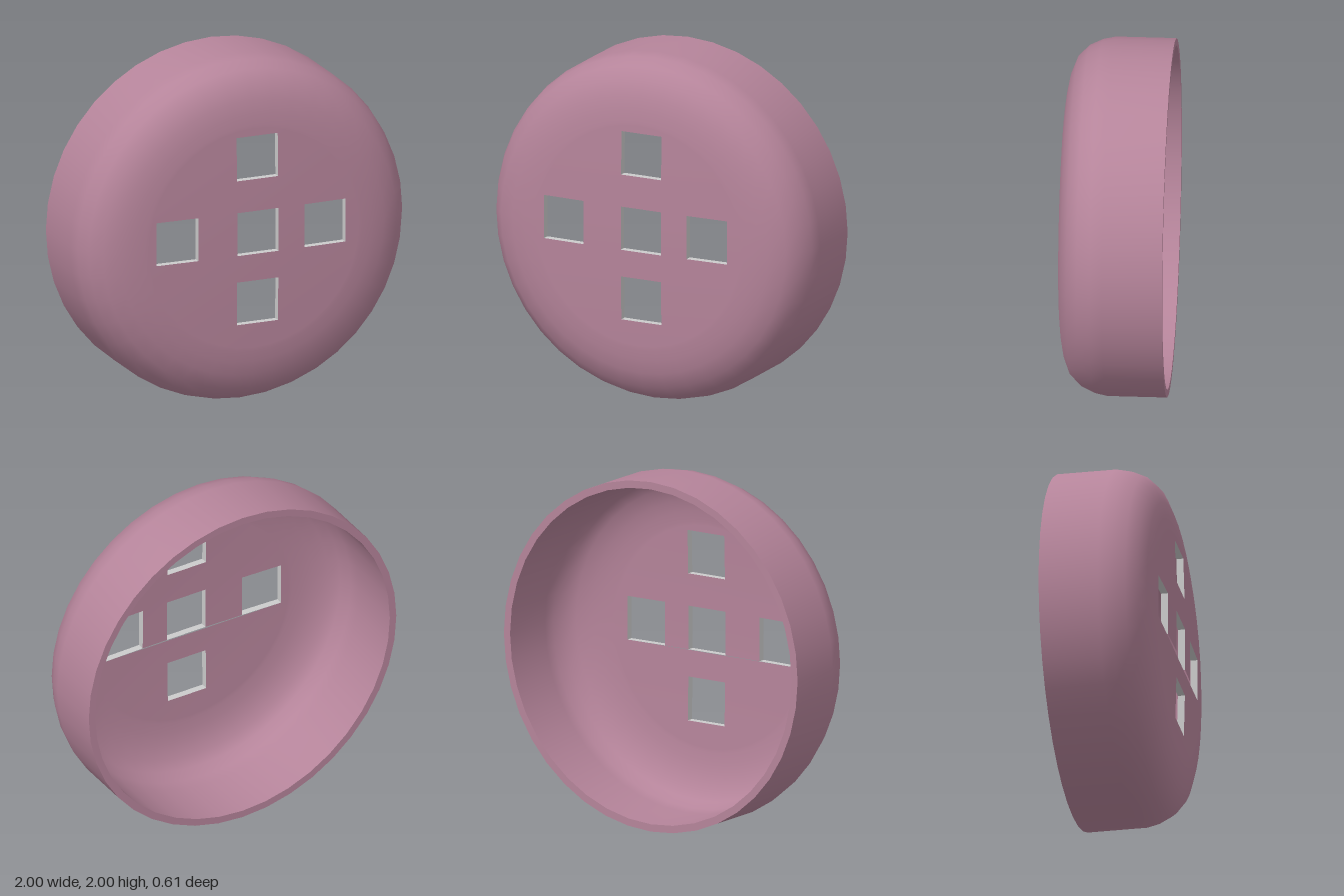
import * as THREE from 'three';

const SEGMENTS = 40;
const PLATE_RADIUS = 0.64;
const THICKNESS = 0.04;
const FRONT = 0.305;
const DOME = 0.03;
const HOLE = 0.25;

const pink = new THREE.MeshStandardMaterial({ color: 0xb5849a });
const grey = new THREE.MeshStandardMaterial({ color: 0xcccccc });

// Surface of revolution about the z axis from [radius, z] pairs
function revolve(name, profile) {
  const points = profile.map(([r, z]) => new THREE.Vector2(r, z));
  const geometry = new THREE.LatheGeometry(points, SEGMENTS);
  geometry.rotateX(Math.PI / 2);
  const mesh = new THREE.Mesh(geometry, pink);
  mesh.name = name;
  return mesh;
}

function squareHole(cx, cy) {
  const h = HOLE / 2;
  return new THREE.Path([
    new THREE.Vector2(cx - h, cy - h),
    new THREE.Vector2(cx - h, cy + h),
    new THREE.Vector2(cx + h, cy + h),
    new THREE.Vector2(cx + h, cy - h),
  ]);
}

// Slightly domed centre plate pierced by a cross of five square holes
function createPlate() {
  const rim = [];
  for (let i = 0; i < SEGMENTS; i++) {
    const a = (i / SEGMENTS) * Math.PI * 2;
    rim.push(new THREE.Vector2(Math.cos(a) * PLATE_RADIUS, Math.sin(a) * PLATE_RADIUS));
  }
  const shape = new THREE.Shape(rim);
  const centres = [[0.02, 0.035], [0.02, 0.47], [0.02, -0.37], [-0.465, 0.035], [0.43, 0.035]];
  shape.holes = centres.map(([x, y]) => squareHole(x, y));

  const geometry = new THREE.ExtrudeGeometry(shape, { depth: THICKNESS, bevelEnabled: false });
  const position = geometry.attributes.position;
  const normal = geometry.attributes.normal;
  const n = new THREE.Vector3();
  for (let i = 0; i < position.count; i++) {
    const x = position.getX(i), y = position.getY(i);
    position.setZ(i, position.getZ(i) + FRONT - THICKNESS - DOME * (x * x + y * y));
    // Faces follow the dome, hole walls keep their flat normals
    const side = normal.getZ(i);
    if (Math.abs(side) > 0.5) {
      n.set(2 * DOME * x, 2 * DOME * y, 1).normalize().multiplyScalar(Math.sign(side));
      normal.setXYZ(i, n.x, n.y, n.z);
    }
  }
  const mesh = new THREE.Mesh(geometry, [pink, grey]);
  mesh.name = 'piercedFrontPlate';
  return mesh;
}

export function createModel() {
  const group = new THREE.Group();
  group.name = 'roundCap';

  const edge = FRONT - DOME * PLATE_RADIUS ** 2;

  // Outer skin: straight wall, then rounded shoulder to the plate
  group.add(revolve('outerShell', [
    [1, -0.305], [1, 0.03], [0.985, 0.1], [0.95, 0.175], [0.89, 0.235],
    [0.8, 0.27], [0.72, 0.285], [0.66, 0.2917], [PLATE_RADIUS, edge],
  ]));

  // Inner skin, running from the plate back to the open end
  group.add(revolve('innerShell', [
    [PLATE_RADIUS, edge - THICKNESS], [0.66, 0.2517], [0.72, 0.244], [0.785, 0.23],
    [0.865, 0.2], [0.915, 0.155], [0.945, 0.09], [0.958, 0.03], [0.958, -0.305],
  ]));

  group.add(revolve('backRim', [[0.958, -0.305], [1, -0.305]]));
  group.add(createPlate());

  group.children.forEach((part) => { part.position.y = 1; });
  return group;
}
